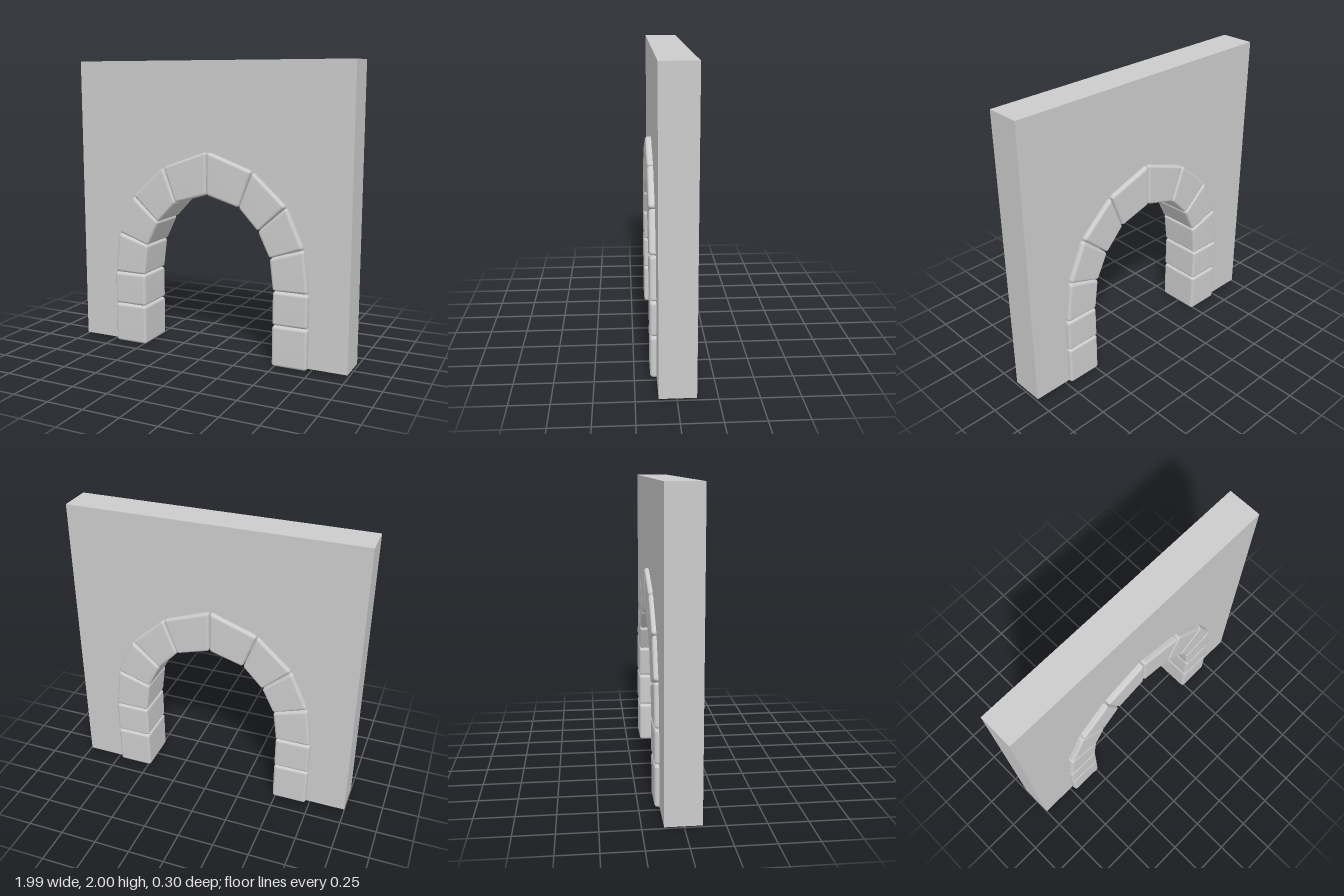
import * as THREE from 'three';
import { RoundedBoxGeometry } from 'three/addons/geometries/RoundedBoxGeometry.js';
import { mergeVertices } from 'three/addons/utils/BufferGeometryUtils.js';

// Joints between the stones, from the ground to the crown: inner and outer end
const JOINTS = [
  { inner: [0.48, 0], outer: [0.724, 0] },
  { inner: [0.48, 0.282], outer: [0.724, 0.282] },
  { inner: [0.482, 0.513], outer: [0.724, 0.513] },
  { inner: [0.456, 0.728], outer: [0.688, 0.804] },
  { inner: [0.372, 0.9], outer: [0.566, 1.072] },
  { inner: [0.235, 1.046], outer: [0.327, 1.288] },
  { inner: [0, 1.115], outer: [0, 1.405] },
].map(({ inner, outer }) => ({
  inner: new THREE.Vector2(...inner),
  outer: new THREE.Vector2(...outer),
}));

const DEPTH = 0.3;
const RADIUS = 0.02;
const GAP = 0.002;

// Rounded block whose front outline is stretched onto four corners
function stoneGeometry(bl, br, tr, tl) {
  const w = (bl.distanceTo(br) + tl.distanceTo(tr)) / 2;
  const h = (bl.distanceTo(tl) + br.distanceTo(tr)) / 2;
  const box = new RoundedBoxGeometry(w, h, DEPTH, 3, RADIUS);
  box.deleteAttribute('uv');
  box.deleteAttribute('normal');
  const geometry = mergeVertices(box, 1e-5);
  const p = geometry.attributes.position;
  const low = new THREE.Vector2();
  const high = new THREE.Vector2();
  for (let i = 0; i < p.count; i++) {
    const u = p.getX(i) / w + 0.5;
    const v = (p.getY(i) / h) * (1 - (2 * GAP) / h) + 0.5;
    low.lerpVectors(bl, br, u);
    high.lerpVectors(tl, tr, u);
    low.lerp(high, v);
    p.setXY(i, low.x, low.y);
  }
  geometry.computeVertexNormals();
  return geometry;
}

// Flat wall with an opening whose edge runs inside the stones
function wallGeometry() {
  const middle = JOINTS.map((j) => j.inner.clone().lerp(j.outer, 0.5));
  middle[0].y = 0.01;
  const mirrored = middle.slice(0, -1).reverse().map((m) => new THREE.Vector2(-m.x, m.y));
  const shape = new THREE.Shape([
    new THREE.Vector2(0.99, 0.01),
    new THREE.Vector2(0.99, 2),
    new THREE.Vector2(-1, 2),
    new THREE.Vector2(-1, 0.01),
    ...mirrored.reverse(),
    ...middle.reverse(),
  ]);
  return new THREE.ExtrudeGeometry(shape, { depth: 0.23, bevelEnabled: false }).translate(0, 0, -0.12);
}

export function createModel() {
  const model = new THREE.Group();
  model.name = 'archway';
  const material = new THREE.MeshStandardMaterial({ color: 0xcccccc });

  const wall = new THREE.Mesh(wallGeometry(), material);
  wall.name = 'wall';
  model.add(wall);

  // Arch stones, mirrored to both sides
  const arch = new THREE.Group();
  arch.name = 'archStones';
  const flip = (v) => new THREE.Vector2(-v.x, v.y);
  for (let i = 0; i < JOINTS.length - 1; i++) {
    const a = JOINTS[i];
    const b = JOINTS[i + 1];
    const left = new THREE.Mesh(stoneGeometry(a.inner, a.outer, b.outer, b.inner), material);
    left.name = `leftStone${i + 1}`;
    const right = new THREE.Mesh(
      stoneGeometry(flip(a.outer), flip(a.inner), flip(b.inner), flip(b.outer)),
      material,
    );
    right.name = `rightStone${i + 1}`;
    arch.add(left, right);
  }
  model.add(arch);
  return model;
}
